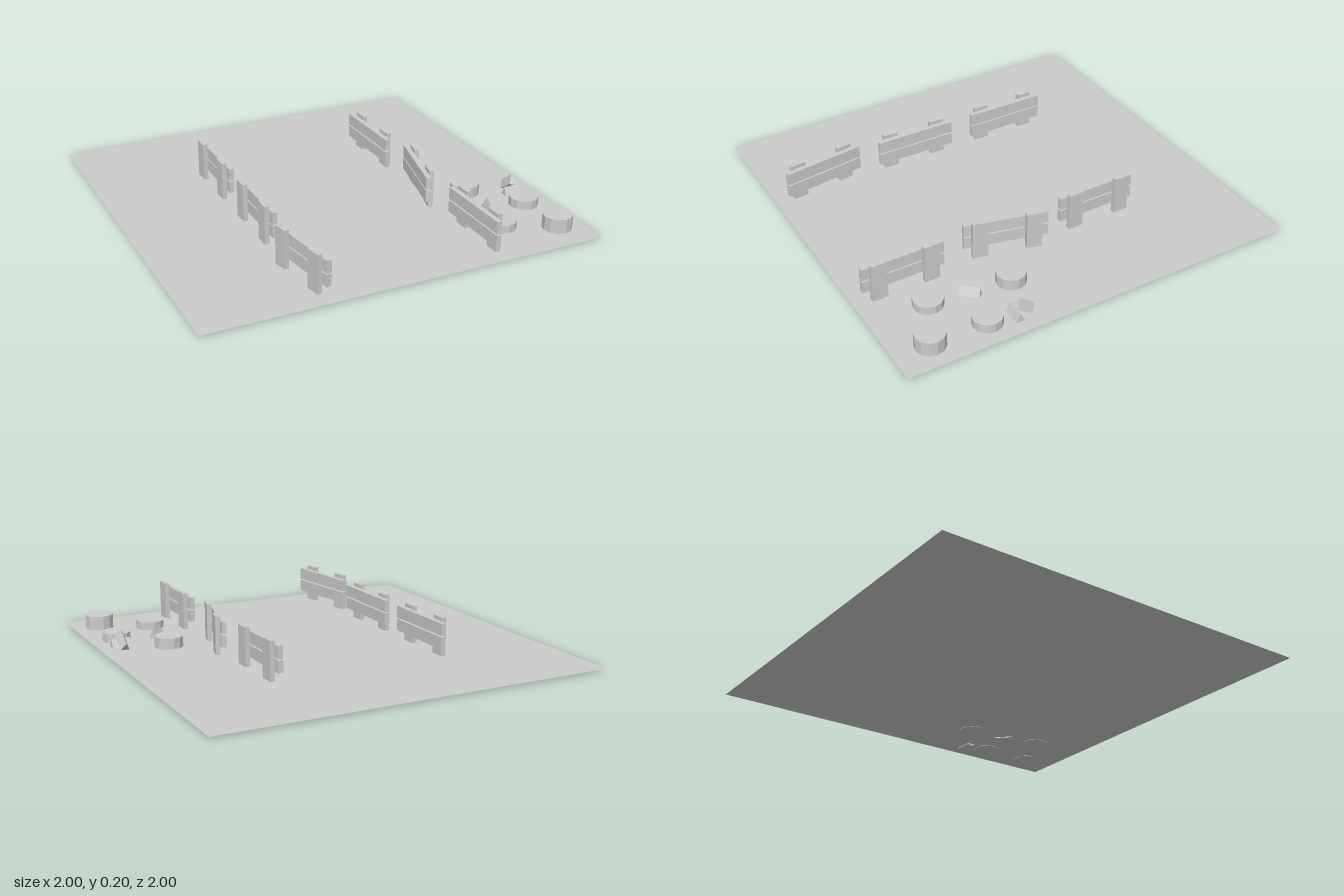
import * as THREE from 'three';

const GROUND = 0.01;

export function createModel() {
  const model = new THREE.Group();
  model.name = 'fencedYard';
  const grey = new THREE.MeshStandardMaterial({ color: 0xcccccc });
  grey.name = 'plainGrey';
  grey.flatShading = true;
  const groundGrey = grey.clone();
  groundGrey.name = 'groundGrey';
  groundGrey.side = THREE.DoubleSide;

  const add = (parent, name, geometry, x, y, z, material = grey) => {
    const mesh = new THREE.Mesh(geometry, material);
    mesh.name = name;
    mesh.position.set(x, y, z);
    parent.add(mesh);
    return mesh;
  };

  // Flat square ground
  add(model, 'ground', new THREE.PlaneGeometry(2, 2).rotateX(-Math.PI / 2), 0, GROUND, 0, groundGrey);

  // Fence sections: two rails along z, two posts on the outer side
  const rail = new THREE.BoxGeometry(0.025, 0.06, 0.41);
  const post = new THREE.BoxGeometry(0.024, 0.192, 0.076);
  const fences = [ // x, z, turn, side of the posts
    [-0.416, -0.302, 0, -1],
    [-0.416, 0.228, 0, -1],
    [-0.418, 0.738, 0.142, -1],
    [0.447, -0.295, 0.012, 1],
    [0.452, 0.208, -0.24, 1],
    [0.453, 0.743, 0.005, 1],
  ];
  for (const [x, z, turn, side] of fences) {
    const fence = new THREE.Group();
    fence.name = 'fence';
    fence.position.set(x, 0, z);
    fence.rotation.y = turn;
    add(fence, 'lowerRail', rail, 0, 0.086, 0);
    add(fence, 'upperRail', rail, 0, 0.153, 0);
    for (const end of [-1, 1]) add(fence, 'post', post, side * 0.0245, 0.106, end * 0.131);
    model.add(fence);
  }

  // Tree stumps: x, z, top height
  const stumps = [
    [0.672, 0.31, 0.065],
    [0.865, 0.545, 0.055],
    [0.628, 0.71, 0.05],
    [0.865, 0.825, 0.082],
  ];
  for (const [x, z, top] of stumps) {
    const height = top - GROUND + 0.002;
    add(model, 'stump', new THREE.CylinderGeometry(0.072, 0.072, height, 12), x, top - height / 2, z);
  }

  // Split firewood: pie-slice section with the sharp edge up
  const slice = new THREE.Shape();
  slice.moveTo(0, 0.026);
  for (let i = 0; i <= 3; i++) {
    const a = -0.46 + (i / 3) * 0.92;
    slice.lineTo(0.052 * Math.sin(a), 0.026 - 0.052 * Math.cos(a));
  }
  slice.closePath();
  const wedge = new THREE.ExtrudeGeometry(slice, { depth: 0.096, bevelEnabled: false });
  wedge.translate(0, 0, -0.048);
  add(model, 'firewood', wedge, 0.661, 0.026, 0.515).rotation.y = Math.PI * 0.75;
  add(model, 'firewood', wedge, 0.885, 0.026, 0.418).rotation.y = Math.PI / 2;
  add(model, 'leaningFirewood', wedge, 0.888, 0.053, 0.372).rotation.x = -0.62;

  return model;
}
